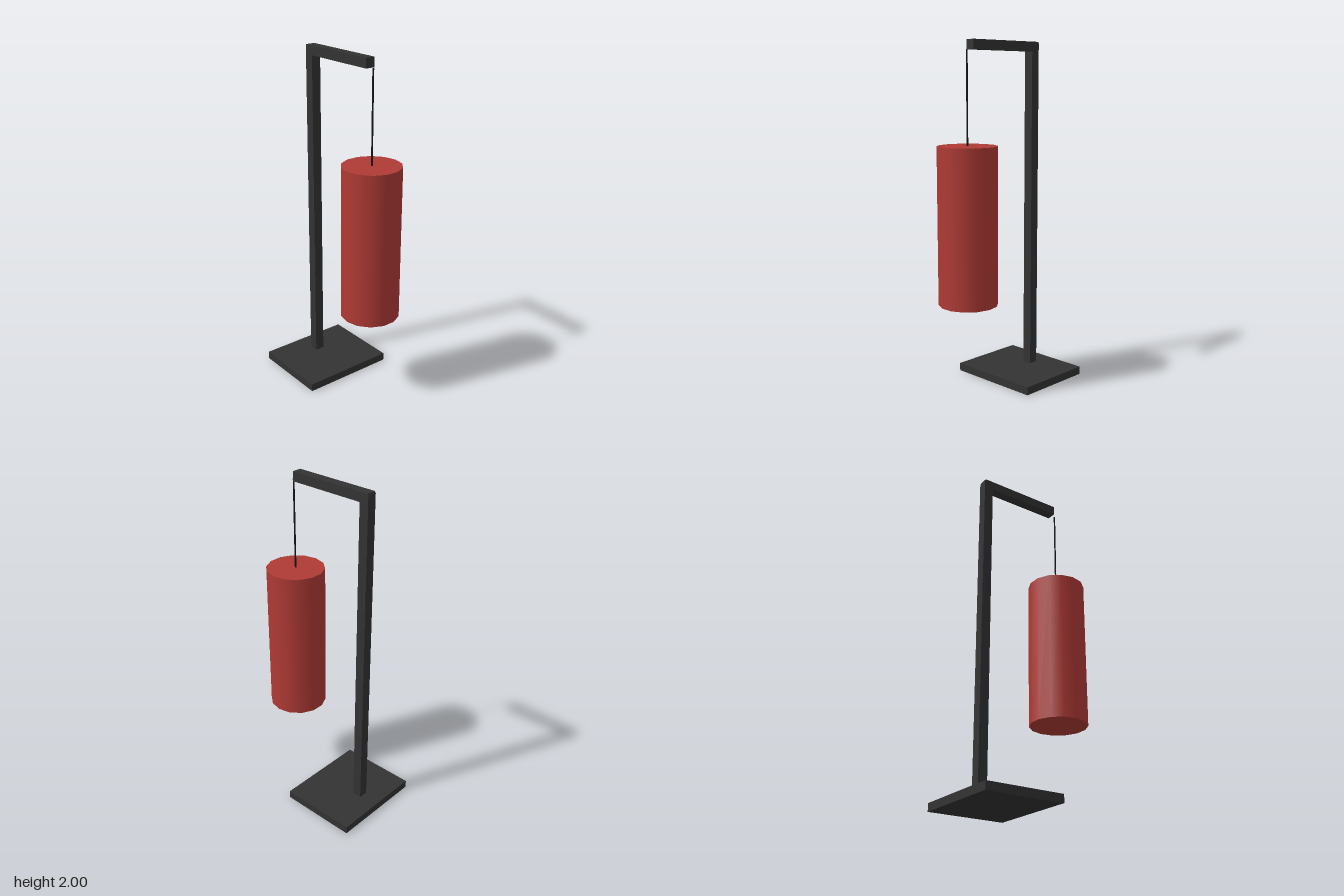
import * as THREE from 'three';

export function createModel() {
  const model = new THREE.Group();
  const steel = new THREE.MeshStandardMaterial({ color: 0x333333 });
  const leather = new THREE.MeshStandardMaterial({ color: 0xb03a35 });
  const black = new THREE.MeshStandardMaterial({ color: 0x151515 });

  const add = (name, geometry, material, y, z) => {
    const mesh = new THREE.Mesh(geometry, material);
    mesh.name = name;
    mesh.position.set(0, y, z);
    model.add(mesh);
    return mesh;
  };

  // Box given by its width and its y and z ranges
  const bar = (name, width, y0, y1, z0, z1) =>
    add(name, new THREE.BoxGeometry(width, y1 - y0, z1 - z0), steel, (y0 + y1) / 2, (z0 + z1) / 2);

  // Stand: floor plate, upright and overhead arm
  bar('base', 0.568, 0, 0.047, -0.415, 0.057);
  bar('post', 0.057, 0.047, 1.992, -0.301, -0.245);
  bar('arm', 0.057, 1.945, 2, -0.297, 0.224);

  // Hanging bag, 14-sided with corners on the x axis
  const bagZ = 0.248;
  const bag = add('bag', new THREE.CylinderGeometry(0.17, 0.17, 0.9, 14), leather, 0.973, bagZ);
  bag.rotation.y = Math.PI / 2;

  // Thin cord, from the bag top up to the underside level of the arm
  add('cord', new THREE.CylinderGeometry(0.005, 0.005, 0.525, 6), black, 1.684, bagZ);

  return model;
}
